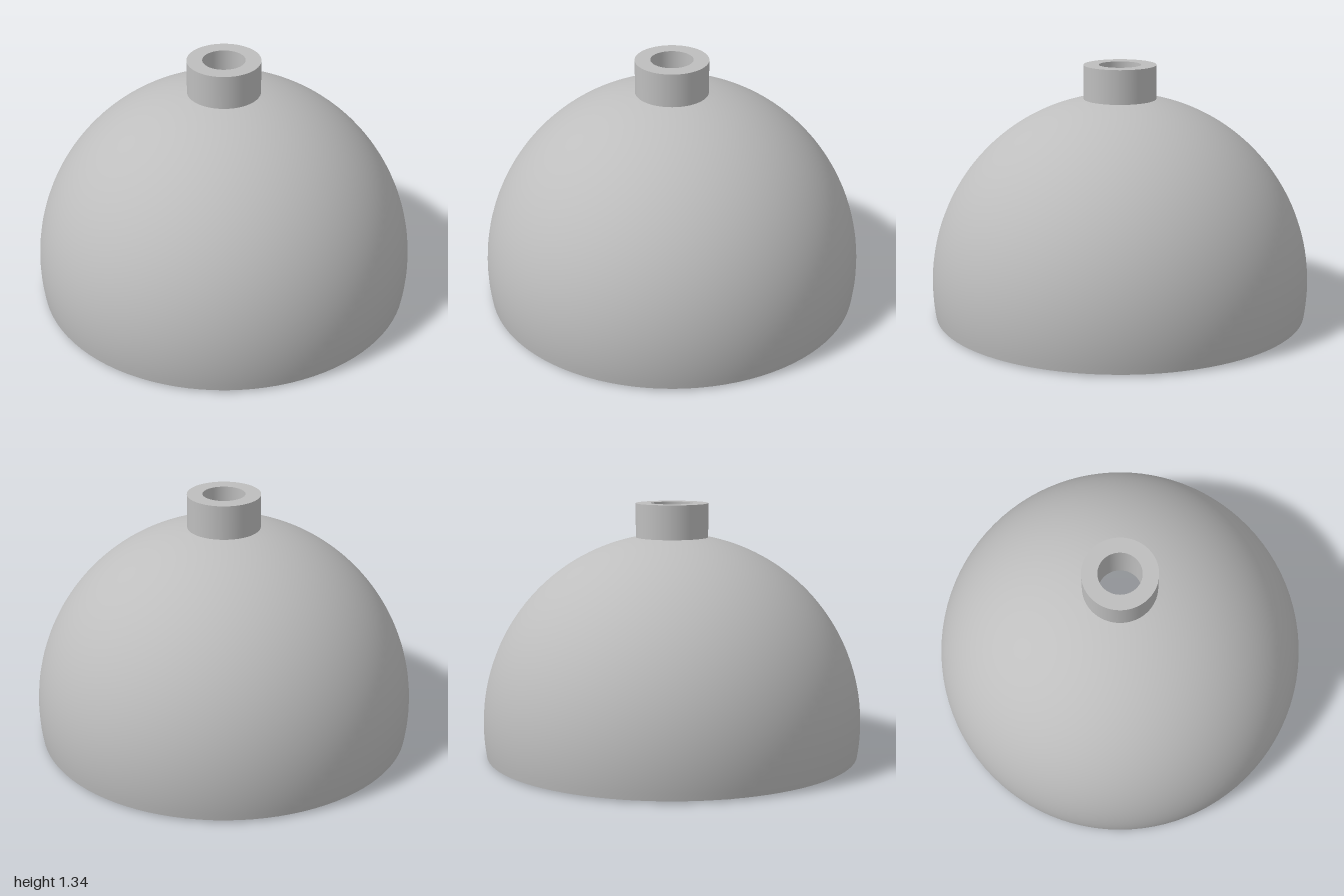
import * as THREE from 'three';

export function createModel() {
  const model = new THREE.Group();
  const grey = new THREE.MeshStandardMaterial({ color: 0xbebebe });
  grey.name = 'plainGrey';

  const CY = 0.165;        // height of the sphere centre
  const R = 1, RI = 0.937; // outer and inner radius
  const NECK = 0.19, BORE = 0.11, TOP = 1.325;

  const add = (name, geometry, parent = model) => {
    const mesh = new THREE.Mesh(geometry, grey);
    mesh.name = name;
    parent.add(mesh);
    return mesh;
  };

  // Points on a sphere from the rim plane y = 0 up to a given top radius
  const dome = (radius, topRadius, steps = 40) => {
    const a0 = Math.asin(-CY / radius), a1 = Math.acos(topRadius / radius);
    return Array.from({ length: steps + 1 }, (_, i) => {
      const a = a0 + (a1 - a0) * i / steps;
      return new THREE.Vector2(radius * Math.cos(a), CY + radius * Math.sin(a));
    });
  };
  const lathe = (name, points) => add(name, new THREE.LatheGeometry(points, 96));
  const v = (x, y) => new THREE.Vector2(x, y);

  // Shell and neck, one surface per smooth stretch so edges stay sharp
  const outer = dome(R, NECK), inner = dome(RI, BORE).reverse();
  const neckBase = outer[outer.length - 1], boreEnd = inner[0];
  lathe('outerShell', outer);
  lathe('innerShell', inner);
  lathe('bottomRim', [inner[inner.length - 1], outer[0]]);
  lathe('neckWall', [neckBase, v(NECK, TOP)]);
  lathe('neckTop', [v(NECK, TOP), v(BORE, TOP)]);
  lathe('neckBore', [v(BORE, TOP), boreEnd]);

  // Pivot bosses with pins on the front and back inner walls
  for (const side of [1, -1]) {
    const pivot = new THREE.Group();
    pivot.name = side > 0 ? 'frontPivot' : 'backPivot';
    const rod = (name, radius, from, to) => {
      const g = new THREE.CylinderGeometry(radius, radius, to - from, 40);
      g.rotateX(Math.PI / 2);
      add(name, g, pivot).position.set(0, CY, side * (from + to) / 2);
    };
    rod('boss', 0.1, 0.8, 0.955);
    rod('pin', 0.038, 0.645, 0.82);
    model.add(pivot);
  }

  // Low studs in a diamond, and shallow ribs, on the left and right inner walls
  const rib = new THREE.Shape();
  rib.absarc(0, 0, 0.87, -0.19, 0.75, false);
  rib.absarc(0, 0, 0.83, 0.75, -0.19, true);
  const ribGeometry = new THREE.ExtrudeGeometry(rib, { depth: 0.06, bevelEnabled: false, curveSegments: 24 });

  for (const side of [0, Math.PI]) {
    const wall = new THREE.Group();
    wall.name = side ? 'rightInnerWall' : 'leftInnerWall';
    wall.position.y = CY;
    wall.rotation.y = side;
    for (const [y, z] of [[0.17, 0], [-0.15, 0], [0, 0.17], [0, -0.17]]) {
      const g = new THREE.CylinderGeometry(0.025, 0.025, 0.04, 20);
      g.rotateZ(Math.PI / 2);
      add('stud', g, wall).position.set(Math.sqrt(RI * RI - y * y - z * z) + 0.013, y, z);
    }
    for (const z of [-0.43, 0.37]) add('rib', ribGeometry, wall).position.z = z;
    model.add(wall);
  }

  return model;
}
